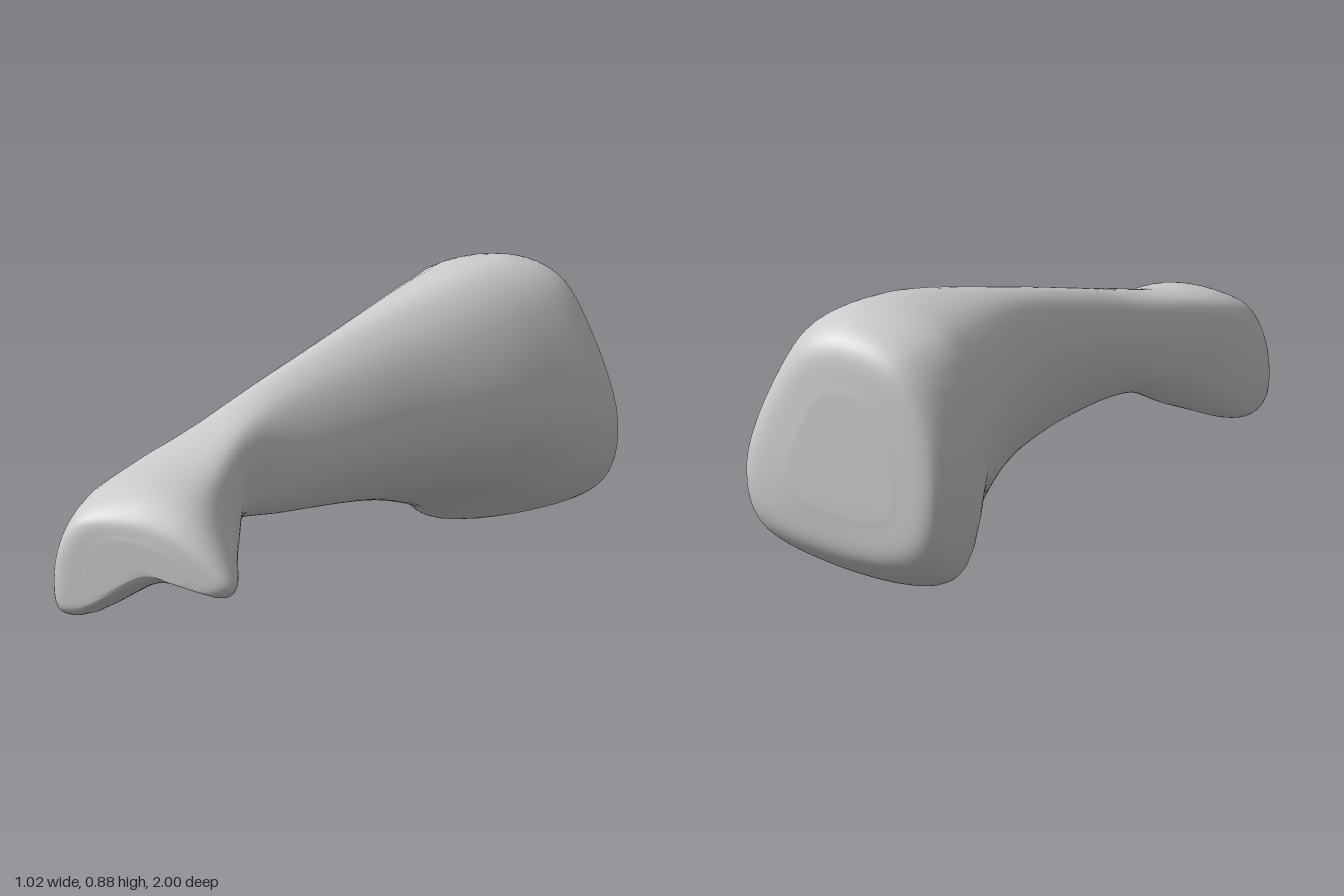
import * as THREE from 'three';

// Each section: z, tilt (dz per x), then ten x,y points running top, left, bottom, right.
const headSections = [
  [-0.96, 0.11, 0.13, 0.79, -0.03, 0.73, -0.15, 0.48, -0.13, 0.18, -0.05, 0.11, 0.23, 0.12, 0.43, 0.2, 0.478, 0.35, 0.38, 0.63, 0.28, 0.765],
  [-0.8, -0.13, 0.15, 0.865, -0.1, 0.785, -0.21, 0.51, -0.175, 0.06, -0.085, 0.002, 0.24, 0.053, 0.46, 0.17, 0.505, 0.36, 0.41, 0.65, 0.3, 0.815],
  [-0.6, 0, 0.12, 0.87, -0.1, 0.79, -0.208, 0.54, -0.16, 0.21, -0.08, 0.09, 0.13, 0.14, 0.29, 0.23, 0.385, 0.38, 0.36, 0.59, 0.25, 0.8],
];
const shaftSections = [
  [-0.2, 0, -0.04, 0.787, -0.135, 0.745, -0.2, 0.56, -0.15, 0.32, -0.08, 0.22, 0.02, 0.23, 0.1, 0.29, 0.165, 0.4, 0.15, 0.56, 0.07, 0.72],
  [0.2, 0, -0.19, 0.68, -0.25, 0.635, -0.28, 0.51, -0.24, 0.37, -0.17, 0.28, -0.1, 0.28, -0.04, 0.33, -0.01, 0.42, -0.03, 0.54, -0.1, 0.65],
  [0.43, 0, -0.25, 0.612, -0.32, 0.575, -0.352, 0.47, -0.33, 0.34, -0.26, 0.285, -0.18, 0.3, -0.12, 0.34, -0.098, 0.42, -0.1, 0.54, -0.14, 0.6],
];
const footSections = [
  [0.65, 0, -0.28, 0.555, -0.39, 0.525, -0.427, 0.4, -0.4, 0.24, -0.32, 0.185, -0.2, 0.22, -0.07, 0.225, -0.035, 0.3, -0.07, 0.42, -0.13, 0.52],
  [0.87, 0, -0.27, 0.51, -0.445, 0.465, -0.498, 0.32, -0.488, 0.12, -0.43, 0.097, -0.19, 0.225, 0.035, 0.207, 0.064, 0.24, 0.02, 0.33, -0.1, 0.46],
  [0.918, -0.155, -0.28, 0.44, -0.42, 0.42, -0.485, 0.31, -0.482, 0.14, -0.43, 0.125, -0.18, 0.255, 0.015, 0.222, 0.045, 0.25, 0, 0.32, -0.11, 0.4],
];

function toRing([z, tilt, ...xy]) {
  const ring = [];
  for (let i = 0; i < xy.length; i += 2) ring.push(new THREE.Vector3(xy[i], xy[i + 1], z + tilt * xy[i]));
  return ring;
}

function average(points) {
  return points.reduce((sum, p) => sum.add(p), new THREE.Vector3()).divideScalar(points.length);
}

// Shrinks a ring towards its middle and pushes it along z, for a domed end
function inset(ring, factor, dz) {
  const middle = average(ring);
  return ring.map((p) => {
    const q = p.clone().lerp(middle, 1 - factor);
    q.z += dz;
    return q;
  });
}

// Smooth skin through the section rings, closed at both ends
function loft(rings, steps, around) {
  const rails = rings[0].map((_, k) => new THREE.CatmullRomCurve3(rings.map((r) => r[k])));
  const positions = [], index = [];
  for (let i = 0; i <= steps; i++) {
    const ring = new THREE.CatmullRomCurve3(rails.map((r) => r.getPoint(i / steps)), true);
    for (let j = 0; j < around; j++) positions.push(...ring.getPoint(j / around).toArray());
  }
  const back = (steps + 1) * around, front = back + 1;
  positions.push(...average(rings[0]).toArray(), ...average(rings[rings.length - 1]).toArray());
  for (let j = 0; j < around; j++) {
    const n = (j + 1) % around;
    for (let i = 0; i < steps; i++) {
      const a = i * around, b = a + around;
      index.push(a + j, a + n, b + n, a + j, b + n, b + j);
    }
    index.push(back, n, j, front, steps * around + j, steps * around + n);
  }
  const geometry = new THREE.BufferGeometry();
  geometry.setAttribute('position', new THREE.Float32BufferAttribute(positions, 3));
  geometry.setIndex(index);
  geometry.computeVertexNormals();
  return geometry;
}

export function createModel() {
  const head = headSections.map(toRing);
  const shaft = shaftSections.map(toRing);
  const foot = footSections.map(toRing);

  // Domed face behind the broad head, blunt nose in front of the two lobes
  const face = inset(head[0], 0.55, -0.027);
  const nose = inset(foot[2], 0.55, 0.015);

  const bone = new THREE.Mesh(
    loft([face, ...head, ...shaft, ...foot, nose], 80, 60),
    new THREE.MeshStandardMaterial({ color: 0xcccccc })
  );
  bone.name = 'bone';

  const group = new THREE.Group();
  group.name = 'limbBone';
  group.add(bone);
  return group;
}
